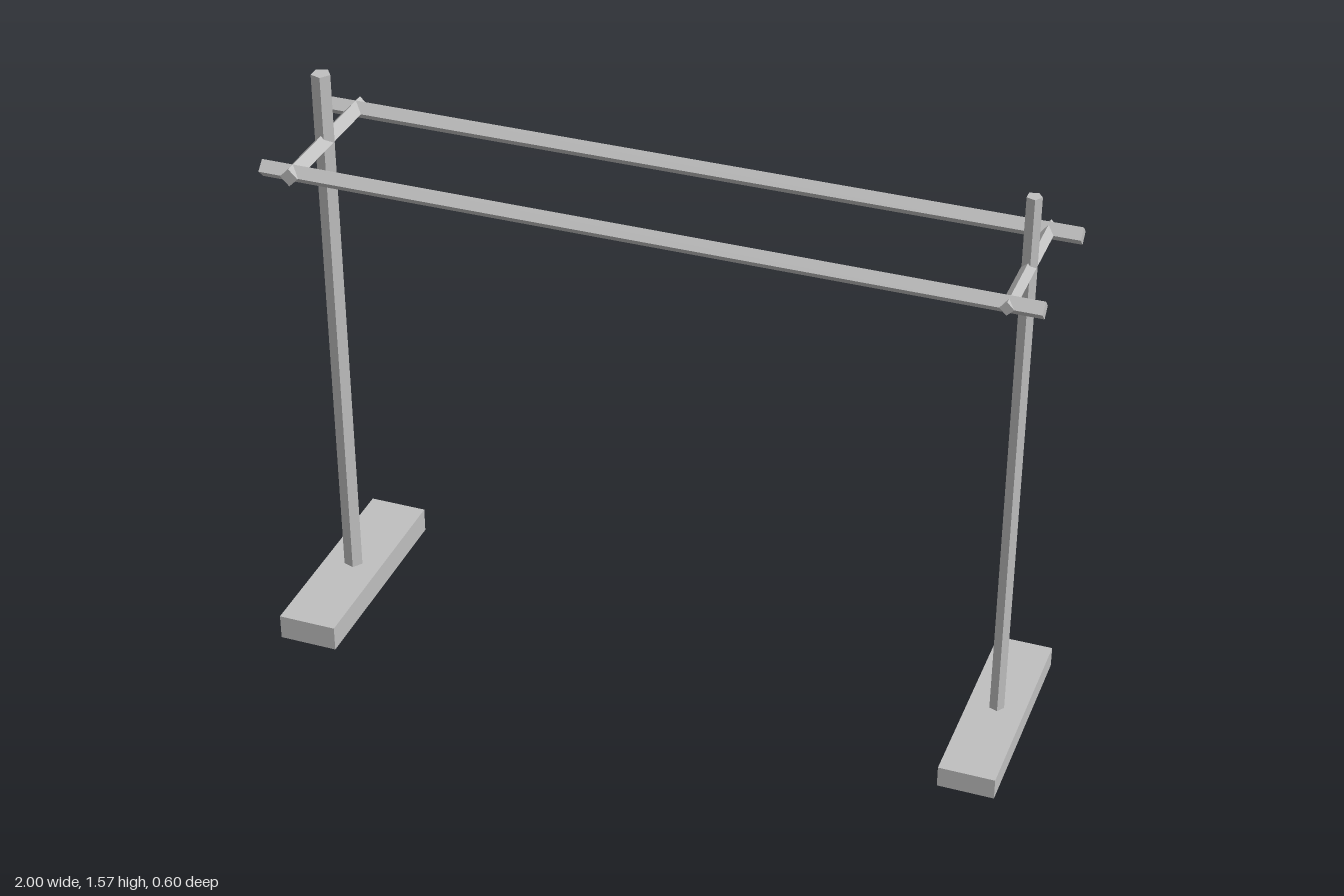
import * as THREE from 'three';

export function createModel() {
  const model = new THREE.Group();
  model.name = 'doubleRailStand';
  const grey = new THREE.MeshStandardMaterial({ color: 0xbfbfbf, flatShading: true });
  grey.name = 'grey';

  const add = (parent, name, geometry, x, y, z) => {
    const mesh = new THREE.Mesh(geometry, grey);
    mesh.name = name;
    mesh.position.set(x, y, z);
    parent.add(mesh);
    return mesh;
  };

  // straight bar with a corner pointing along +x before it is turned
  const bar = (radius, length, sides) =>
    new THREE.CylinderGeometry(radius, radius, length, sides, 1, false, Math.PI / 2);

  const railY = 1.381, postTop = 1.57;

  // end stands: the right one is slightly thicker than the left one
  const stands = [
    { name: 'rightStand', x: -0.915, foot: [0.16, 0.07, 0.595], footY: 0.035, post: 0.026, cross: 0.024, reach: 0.42 },
    { name: 'leftStand', x: 0.915, foot: [0.149, 0.058, 0.582], footY: 0.035, post: 0.02, cross: 0.018, reach: 0.414 },
  ];
  for (const s of stands) {
    const stand = new THREE.Group();
    stand.name = s.name;
    stand.position.x = s.x;
    model.add(stand);
    add(stand, 'foot', new THREE.BoxGeometry(...s.foot), 0, s.footY, 0);
    const base = 0.03;
    add(stand, 'post', bar(s.post, postTop - base, 5), 0, (postTop + base) / 2, 0);
    add(stand, 'crossbar', bar(s.cross, s.reach, 4).rotateX(Math.PI / 2), 0, railY, 0);
  }

  // long diamond-section rails, front and back
  for (const [name, z] of [['frontRail', 0.183], ['backRail', -0.185]]) {
    add(model, name, bar(0.024, 2, 4).rotateZ(Math.PI / 2), 0, railY, z);
  }

  return model;
}
